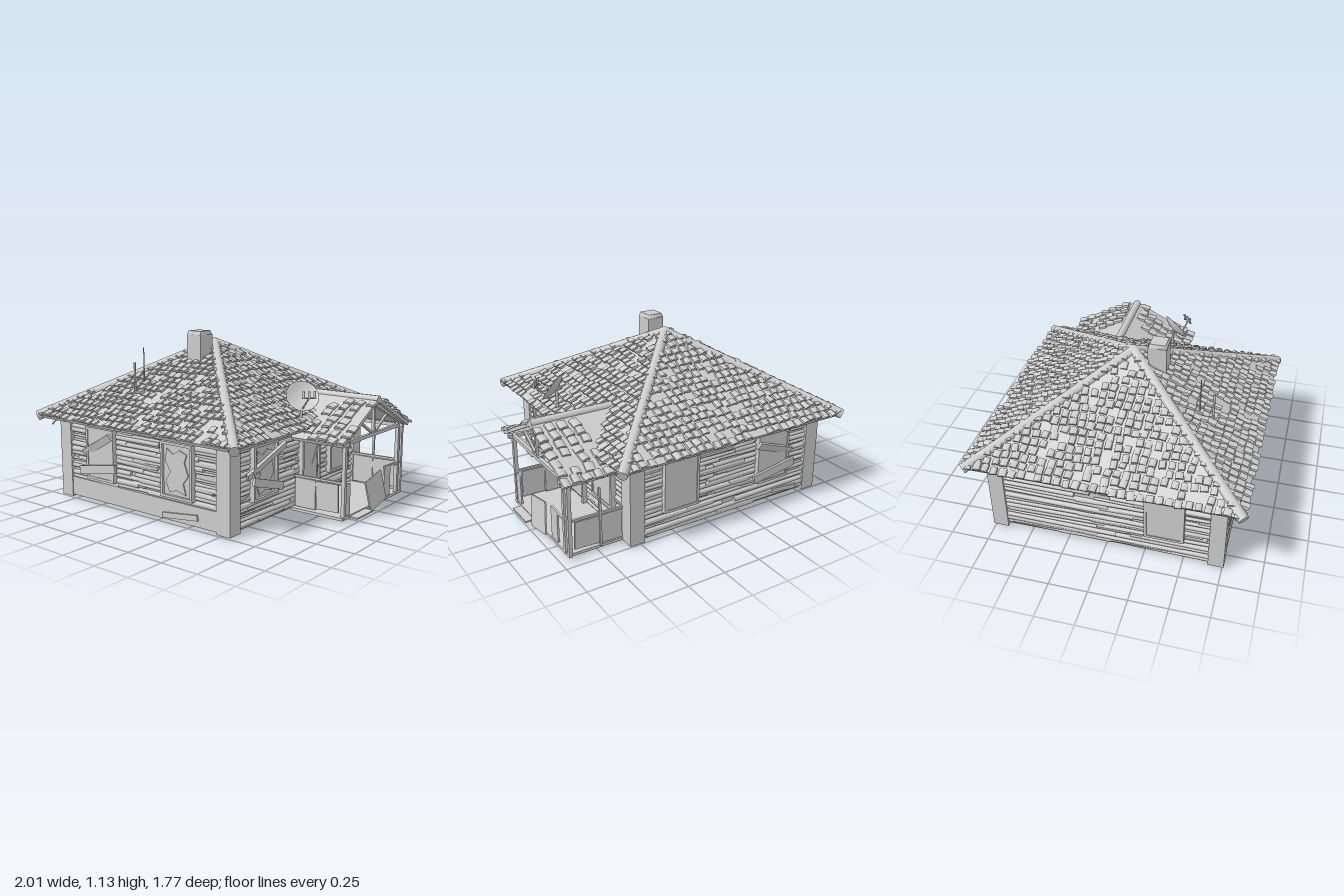
import * as THREE from 'three';
import { mergeGeometries } from 'three/addons/utils/BufferGeometryUtils.js';

const grey = new THREE.MeshStandardMaterial({ color: 0xcccccc });
grey.name = 'paleGrey';

let seed = 7;
const rnd = () => (seed = (seed * 16807) % 2147483647) / 2147483647;
const jit = (a) => (rnd() - 0.5) * 2 * a;

const CX = -0.145, HX = 0.725, HZ = 0.76;          // house centre and half sizes
const APEX = 1.05, EAVE = 0.57, RX = 0.835, RZ = 0.86; // main roof

function add(parent, name, geo, x = 0, y = 0, z = 0) {
  const m = new THREE.Mesh(geo, grey);
  m.name = name;
  m.position.set(x, y, z);
  parent.add(m);
  return m;
}
const box = (p, name, w, h, d, x, y, z) => add(p, name, new THREE.BoxGeometry(w, h, d), x, y, z);

function group(parent, name, x = 0, y = 0, z = 0, ry = 0) {
  const g = new THREE.Group();
  g.name = name;
  g.position.set(x, y, z);
  g.rotation.y = ry;
  parent.add(g);
  return g;
}

// straight square beam between two points
function beam(p, name, a, b, w, h = w) {
  const A = new THREE.Vector3(...a), B = new THREE.Vector3(...b);
  const m = box(p, name, w, h, A.distanceTo(B), 0, 0, 0);
  m.position.copy(A).add(B).multiplyScalar(0.5);
  m.lookAt(B);
  return m;
}

// round rod between two points
function rod(p, name, a, b, r, r2 = r) {
  const A = new THREE.Vector3(...a), B = new THREE.Vector3(...b);
  const m = add(p, name, new THREE.CylinderGeometry(r2, r, A.distanceTo(B), 10));
  m.position.copy(A).add(B).multiplyScalar(0.5);
  m.quaternion.setFromUnitVectors(new THREE.Vector3(0, 1, 0), B.clone().sub(A).normalize());
  return m;
}

// arched roof tile, raised at its lower end
function tileGeometry(w, l) {
  const g = new THREE.BoxGeometry(w, 0.016, l, 3, 1, 1), p = g.attributes.position;
  for (let i = 0; i < p.count; i++) {
    const x = p.getX(i) / w, z = p.getZ(i) / l;
    p.setY(i, p.getY(i) + 0.007 + (z + 0.5) * 0.011 - x * x * 0.03);
  }
  g.computeVertexNormals();
  return g;
}

// one roof slope: local z runs down from the ridge, outline is in (x, distance down)
function slope(parent, name, run, rise, outline, lo, hi, tw, tl, missing) {
  const g = group(parent, name), L = Math.hypot(run, rise);
  g.rotation.x = Math.atan2(rise, run);
  const shape = new THREE.Shape(outline.map(([x, t]) => new THREE.Vector2(x, t * L)));
  add(g, 'roofSlab', new THREE.ExtrudeGeometry(shape, { depth: 0.022, bevelEnabled: false }).rotateX(Math.PI / 2));
  const base = tileGeometry(tw, tl), parts = [], o = new THREE.Object3D();
  const rows = Math.floor(L / (tl * 1.05));
  for (let r = 0; r < rows; r++) {
    const d = L - tl * 0.35 - r * tl * 1.05, t = d / L;
    const a = lo(t) + tw * 0.4, b = hi(t) - tw * 0.4, n = Math.floor((b - a) / (tw * 1.22));
    for (let i = 0; i <= n; i++) {
      if (rnd() < missing) continue;
      o.position.set(n ? a + ((b - a) * i) / n + jit(0.004) : (a + b) / 2, jit(0.003), d + jit(0.007));
      o.rotation.set(jit(0.1), jit(0.13), jit(0.12));
      o.scale.set(0.95 + jit(0.12), 1 + jit(0.25), 0.98 + jit(0.12));
      o.updateMatrix();
      parts.push(base.clone().applyMatrix4(o.matrix));
    }
  }
  add(g, 'roofTiles', mergeGeometries(parts));
}

// horizontal weathered logs across a wall facing +z
function logs(parent, half, y0) {
  const parts = [], o = new THREE.Object3D();
  const span = half * 2 - 0.18;
  for (let y = y0; y < 0.575; y += 0.031) {
    for (let k = 0; k < 3; k++) {
      const len = span * (0.35 + rnd() * 0.3), r = 0.013 + rnd() * 0.006;
      const g = new THREE.CylinderGeometry(r, r * (0.35 + rnd() * 0.6), len, 7).rotateZ(Math.PI / 2);
      const end = (span - len) / 2;
      o.position.set(k === 0 ? -end : k === 1 ? end : jit(end), y + jit(0.008), -0.022);
      o.rotation.set(0, 0, (rnd() < 0.5 ? 0 : Math.PI) + jit(0.014));
      o.updateMatrix();
      parts.push(g.applyMatrix4(o.matrix));
    }
  }
  add(parent, 'wallLogs', mergeGeometries(parts));
}

// frame, backing and optional boards [x, y, length, width, angle]
function windowUnit(parent, u, kind, boards = []) {
  const g = group(parent, 'window', u, 0.35, 0), w = 0.25, h = 0.345;
  box(g, 'windowPanel', w - 0.02, h - 0.02, 0.03, 0, 0, kind === 'panel' ? 0.0 : -0.012);
  for (const s of [-1, 1]) {
    box(g, 'windowJamb', 0.017, h, 0.04, s * (w / 2 - 0.008), 0, 0);
    box(g, 'windowRail', w, 0.017, 0.04, 0, s * (h / 2 - 0.008), 0);
  }
  if (kind === 'glass') {
    const pts = [[-0.08, 0.13], [-0.03, 0.1], [0.02, 0.13], [0.08, 0.11], [0.06, 0.06], [0.09, -0.02],
      [0.05, -0.07], [0.07, -0.14], [0, -0.12], [-0.06, -0.14], [-0.09, -0.07], [-0.05, -0.01], [-0.09, 0.05]];
    const s = new THREE.Shape(pts.map((p) => new THREE.Vector2(...p)));
    add(g, 'brokenGlass', new THREE.ExtrudeGeometry(s, { depth: 0.007, bevelEnabled: false }), 0, 0, 0.004);
  }
  boards.forEach(([x, y, l, bw, a], i) => {
    const b = box(g, 'nailedBoard', l, bw, 0.018, x, y, 0.026 + i * 0.006);
    b.rotation.set(i ? 0 : 0.35, 0, a);
  });
}

function buildWalls(root) {
  box(root, 'wallCore', HX * 2 - 0.06, 0.6, HZ * 2 - 0.06, CX, 0.32, 0);
  for (const sx of [-1, 1]) for (const sz of [-1, 1])
    box(root, 'cornerPost', 0.1, 0.57, 0.1, CX + sx * (HX - 0.05), 0.3, sz * (HZ - 0.05));
  const up = [-0.01, 0.065, 0.35, 0.05, 0.5], low = [-0.005, -0.095, 0.33, 0.055, 0.16], down = [0, -0.08, 0.31, 0.05, -0.28];
  const face = (name, dist, ry) => group(root, name, CX + Math.sin(ry) * dist, 0, Math.cos(ry) * dist, ry);

  const front = face('frontWall', HZ, 0);
  box(front, 'plinthBoard', HX * 2 - 0.19, 0.125, 0.03, 0, 0.09, -0.02);
  logs(front, HX, 0.165);
  windowUnit(front, -0.33, 'panel', [up, low]);
  windowUnit(front, 0.33, 'glass');
  box(front, 'loosePlank', 0.28, 0.035, 0.012, 0.345, 0.07, 0.002).rotation.z = 0.12;

  const back = face('backWall', HZ, Math.PI);
  logs(back, HX, 0.045);
  windowUnit(back, -0.37, 'panel');
  windowUnit(back, 0.34, 'panel', [[0, 0.06, 0.33, 0.05, -0.4], low]);
  box(back, 'loosePlank', 0.2, 0.03, 0.012, 0.46, 0.075, 0.002).rotation.z = -0.1;

  const right = face('porchWall', HX, Math.PI / 2);
  logs(right, HZ, 0.045);
  windowUnit(right, -0.425, 'glass', [up, down]);
  windowUnit(right, 0.44, 'panel');
  box(right, 'door', 0.18, 0.38, 0.02, 0.08, 0.26, 0);
  for (const s of [-1, 1]) box(right, 'doorJamb', 0.018, 0.44, 0.04, 0.08 + s * 0.1, 0.26, 0);
  box(right, 'doorLintel', 0.22, 0.02, 0.04, 0.08, 0.475, 0);
  box(right, 'doorCrack', 0.012, 0.13, 0.006, 0.13, 0.34, 0.011).rotation.z = -0.5;
  add(right, 'doorKnob', new THREE.SphereGeometry(0.01, 10, 8), 0.15, 0.26, 0.018);

  const left = face('farWall', HX, -Math.PI / 2);
  logs(left, HZ, 0.045);
  windowUnit(left, 0.38, 'panel');
}

function buildMainRoof(root) {
  const roof = group(root, 'mainRoof', CX, APEX, 0);
  [[RZ, RX], [RX, RZ], [RZ, RX], [RX, RZ]].forEach(([run, half], i) => {
    const side = group(roof, 'roofSide', 0, 0, 0, (i * Math.PI) / 2);
    slope(side, 'roofSlope', run, APEX - EAVE, [[0, 0], [half, 1], [-half, 1]],
      (t) => -half * t, (t) => half * t, 0.046, 0.052, 0.1);
  });
  for (const sx of [-1, 1]) for (const sz of [-1, 1])
    rod(root, 'hipCap', [CX, APEX - 0.012, 0], [CX + sx * RX, EAVE - 0.008, sz * RZ], 0.033);
  add(root, 'roofPeak', new THREE.SphereGeometry(0.045, 16, 10), CX, APEX - 0.025, 0);

  // chimney with a chamfered top
  box(root, 'chimney', 0.118, 0.2, 0.122, CX + 0.003, 1.005, 0.163);
  const top = add(root, 'chimneyTop', new THREE.CylinderGeometry(0.072, 0.0834, 0.025, 4).rotateY(Math.PI / 4), CX + 0.003, 1.1175, 0.163);
  top.geometry.computeVertexNormals();
  rod(root, 'antenna', [-0.355, 0.75, 0.475], [-0.355, 1.03, 0.475], 0.006, 0.003);
  rod(root, 'antenna', [-0.355, 0.7, 0.56], [-0.355, 0.94, 0.56], 0.007);
  beam(root, 'eaveSplinter', [-0.84, 0.58, 0.77], [-0.88, 0.51, 0.82], 0.02, 0.008);
  beam(root, 'eaveSplinter', [-0.6, 0.57, -0.77], [-0.55, 0.52, -0.82], 0.02, 0.008);
}

function buildPorch(root) {
  const PZ = -0.27, RIDGE = 0.735, run = 0.44, rise = 0.225, X1 = 0.97;
  const roof = group(root, 'porchRoof', 0, RIDGE, PZ);
  slope(roof, 'porchSlope', run, rise, [[0.42, 0], [X1, 0], [X1, 1], [0.6, 1]],
    (t) => 0.7 - 0.04 * t, () => X1 + 0.01, 0.056, 0.062, 0.08);
  const far = group(roof, 'porchRoofBack', 0, 0, 0, Math.PI);
  slope(far, 'porchSlope', run, rise, [[-X1, 0], [-0.42, 0], [-0.6, 1], [-X1, 1]],
    () => -X1 - 0.01, (t) => -0.7 + 0.04 * t, 0.056, 0.062, 0.08);
  rod(root, 'porchRidgeCap', [0.42, RIDGE - 0.012, PZ], [X1, RIDGE - 0.012, PZ], 0.027);

  // open gable truss
  const x = 0.935;
  for (const s of [-1, 1]) {
    beam(root, 'gableRafter', [x, RIDGE - 0.04, PZ], [x, 0.5, PZ + s * 0.42], 0.025, 0.02);
    beam(root, 'gableStrut', [x, 0.5, PZ], [x, 0.61, PZ + s * 0.19], 0.015);
    beam(root, 'sidePlate', [0.57, 0.5, PZ + s * 0.36], [0.97, 0.5, PZ + s * 0.36], 0.025);
  }
  beam(root, 'kingPost', [x, 0.5, PZ], [x, 0.7, PZ], 0.018);
  beam(root, 'tieBeam', [x, 0.5, PZ - 0.41], [x, 0.5, PZ + 0.38], 0.022);

  // deck, step and posts
  box(root, 'porchDeck', 0.38, 0.018, 0.78, 0.755, 0.027, PZ - 0.01);
  box(root, 'entryStep', 0.15, 0.01, 0.2, 0.925, 0.025, -0.08).rotation.z = -0.04;
  for (const z of [0.085, -0.62, -0.67]) beam(root, 'porchPost', [x, 0.02, z], [x, 0.5, z], 0.024);
  beam(root, 'brokenPost', [0.73, 0.03, -0.67], [0.735, 0.42, -0.67], 0.014);
  beam(root, 'brokenPost', [0.74, 0.2, 0.085], [0.74, 0.42, 0.085], 0.008);

  // parapet panels and rails
  for (const z of [0.085, -0.665]) {
    box(root, 'sidePanel', 0.15, 0.19, 0.012, 0.66, 0.14, z);
    box(root, 'sidePanel', 0.16, 0.18, 0.012, 0.82, 0.145, z).rotation.z = 0.03;
    beam(root, 'handRail', [0.58, 0.245, z], [x, 0.25, z], 0.014);
  }
  box(root, 'frontPanel', 0.012, 0.2, 0.08, x, 0.14, 0.055);
  box(root, 'frontPanel', 0.012, 0.2, 0.085, x, 0.14, -0.48);
  beam(root, 'handRail', [x, 0.245, -0.44], [x, 0.235, -0.66], 0.014);
  box(root, 'leaningSheet', 0.01, 0.205, 0.21, 0.955, 0.123, -0.29).rotation.set(0.2, 0, 0.12);
}

function buildDish(root) {
  const c = new THREE.Vector3(0.635, 0.76, 0.105);
  const dish = group(root, 'satelliteDish', c.x, c.y, c.z);
  dish.quaternion.setFromUnitVectors(new THREE.Vector3(0, 1, 0), new THREE.Vector3(1, 1, 1).normalize());
  const pts = [[0, -0.025], [0.04, -0.021], [0.08, -0.008], [0.104, 0.008], [0.102, 0.012], [0.08, -0.002], [0.04, -0.015], [0, -0.019]];
  add(dish, 'dishBowl', new THREE.LatheGeometry(pts.map((p) => new THREE.Vector2(...p)), 28));
  rod(root, 'dishMast', [0.62, 0.58, 0.09], [0.62, 0.745, 0.09], 0.009);
  rod(root, 'feedArm', [0.66, 0.69, 0.14], [0.73, 0.77, 0.175], 0.005);
  for (const s of [-1, 0, 1])
    rod(root, 'feedHorn', [0.73 + s * 0.024, 0.765, 0.175 - s * 0.024], [0.725 + s * 0.024, 0.81, 0.17 - s * 0.024], 0.008);
  rod(root, 'feedBar', [0.7, 0.77, 0.205], [0.76, 0.77, 0.145], 0.005);
}

export function createModel() {
  seed = 7;
  const root = new THREE.Group();
  root.name = 'abandonedHouse';
  buildWalls(root);
  buildMainRoof(root);
  buildPorch(root);
  buildDish(root);
  return root;
}
